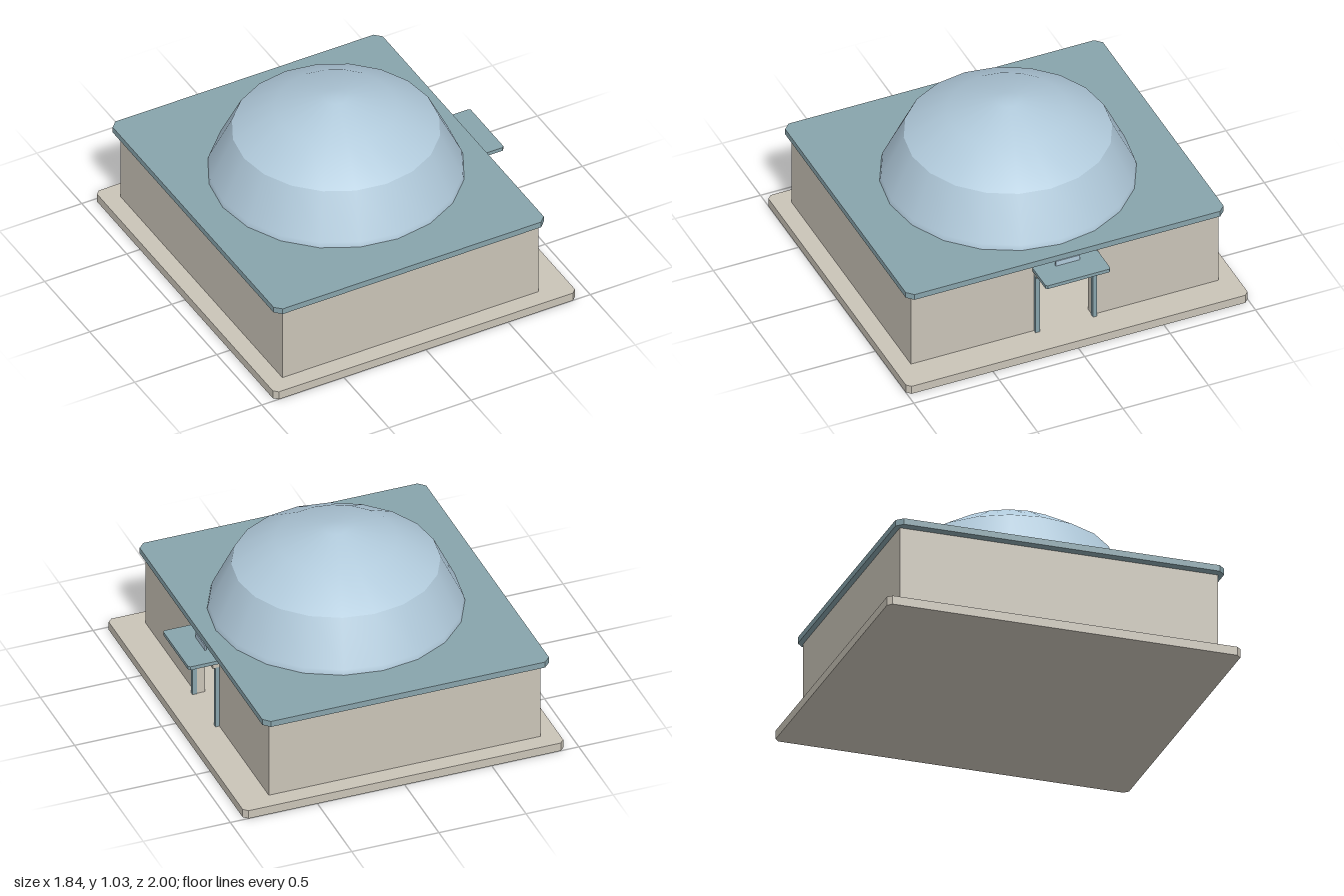
import * as THREE from 'three';

const stone = new THREE.MeshStandardMaterial({ color: 0xcac4b8 });
stone.name = 'stone';
const slate = new THREE.MeshStandardMaterial({ color: 0x88a4ac });
slate.name = 'slate blue';
const glass = new THREE.MeshStandardMaterial({ color: 0xb0c9da, side: THREE.DoubleSide });
glass.name = 'pale blue';

function add(group, name, geometry, material) {
  const mesh = new THREE.Mesh(geometry, material);
  mesh.name = name;
  group.add(mesh);
  return mesh;
}

// Box given by its minimum and maximum corners
function box(group, name, material, [x0, y0, z0], [x1, y1, z1]) {
  const mesh = add(group, name, new THREE.BoxGeometry(x1 - x0, y1 - y0, z1 - z0), material);
  mesh.position.set((x0 + x1) / 2, (y0 + y1) / 2, (z0 + z1) / 2);
  return mesh;
}

// Horizontal slab with cut corners
function slab(group, name, material, x0, x1, halfZ, y0, y1, cut) {
  const shape = new THREE.Shape([
    [x0 + cut, -halfZ], [x1 - cut, -halfZ], [x1, -halfZ + cut], [x1, halfZ - cut],
    [x1 - cut, halfZ], [x0 + cut, halfZ], [x0, halfZ - cut], [x0, -halfZ + cut],
  ].map(([x, z]) => new THREE.Vector2(x, z)));
  const geometry = new THREE.ExtrudeGeometry(shape, { depth: y1 - y0, bevelEnabled: false });
  geometry.rotateX(-Math.PI / 2);
  add(group, name, geometry, material).position.y = y0;
}

// Shell of revolution with twenty sides
function shell(group, name, profile) {
  const points = profile.map(([r, y]) => new THREE.Vector2(r, y));
  add(group, name, new THREE.LatheGeometry(points, 20), glass);
}

export function createModel() {
  const model = new THREE.Group();
  model.name = 'domedBuilding';

  // Plinth and roof
  slab(model, 'plinth', stone, -0.92, 0.92, 1, 0, 0.05, 0.024);
  slab(model, 'roof', slate, -0.87, 0.775, 0.93, 0.505, 0.54, 0.036);

  // Hollow walls with a doorway on the left side
  const t = 0.05, y0 = 0.05, y1 = 0.505;
  for (const s of [-1, 1]) {
    const z = [s * 0.9, s * (0.9 - t)].sort((a, b) => a - b);
    box(model, s > 0 ? 'frontWall' : 'backWall', stone, [-0.82, y0, z[0]], [0.74, y1, z[1]]);
  }
  box(model, 'rightWall', stone, [-0.82, y0, -0.85], [-0.82 + t, y1, 0.85]);
  const wall = new THREE.Shape([
    [-0.85, y0], [-0.16, y0], [-0.16, 0.43], [0.16, 0.43],
    [0.16, y0], [0.85, y0], [0.85, y1], [-0.85, y1],
  ].map(([z, y]) => new THREE.Vector2(z, y)));
  const wallGeometry = new THREE.ExtrudeGeometry(wall, { depth: t, bevelEnabled: false });
  wallGeometry.rotateY(Math.PI / 2);
  add(model, 'doorWall', wallGeometry, stone).position.x = 0.74 - t;

  // Entrance: posts, lintel, canopy with a strip below, plate above
  const entrance = new THREE.Group();
  entrance.name = 'entrance';
  for (const s of [-1, 1]) {
    box(entrance, 'doorPost', slate, [0.735, y0, s * 0.168 - 0.012], [0.762, 0.428, s * 0.168 + 0.012]);
  }
  box(entrance, 'lintel', stone, [0.735, 0.425, -0.18], [0.778, 0.455, 0.18]);
  slab(entrance, 'canopy', slate, 0.735, 0.92, 0.19, 0.455, 0.476, 0.01);
  box(entrance, 'canopyStrip', slate, [0.82, 0.446, -0.14], [0.832, 0.456, 0.14]);
  box(entrance, 'plate', glass, [0.772, 0.475, -0.07], [0.78, 0.507, 0.07]);
  model.add(entrance);

  // Dome: steep lower band and smooth cap with a crease between them
  const dome = new THREE.Group();
  dome.name = 'dome';
  shell(dome, 'domeBand', [[0.69, 0.54], [0.683, 0.57], [0.56, 0.822]]);
  shell(dome, 'domeCap', [[0.56, 0.822], [0.33, 0.96], [0.066, 1.03], [0, 1.03]]);
  model.add(dome);

  return model;
}
